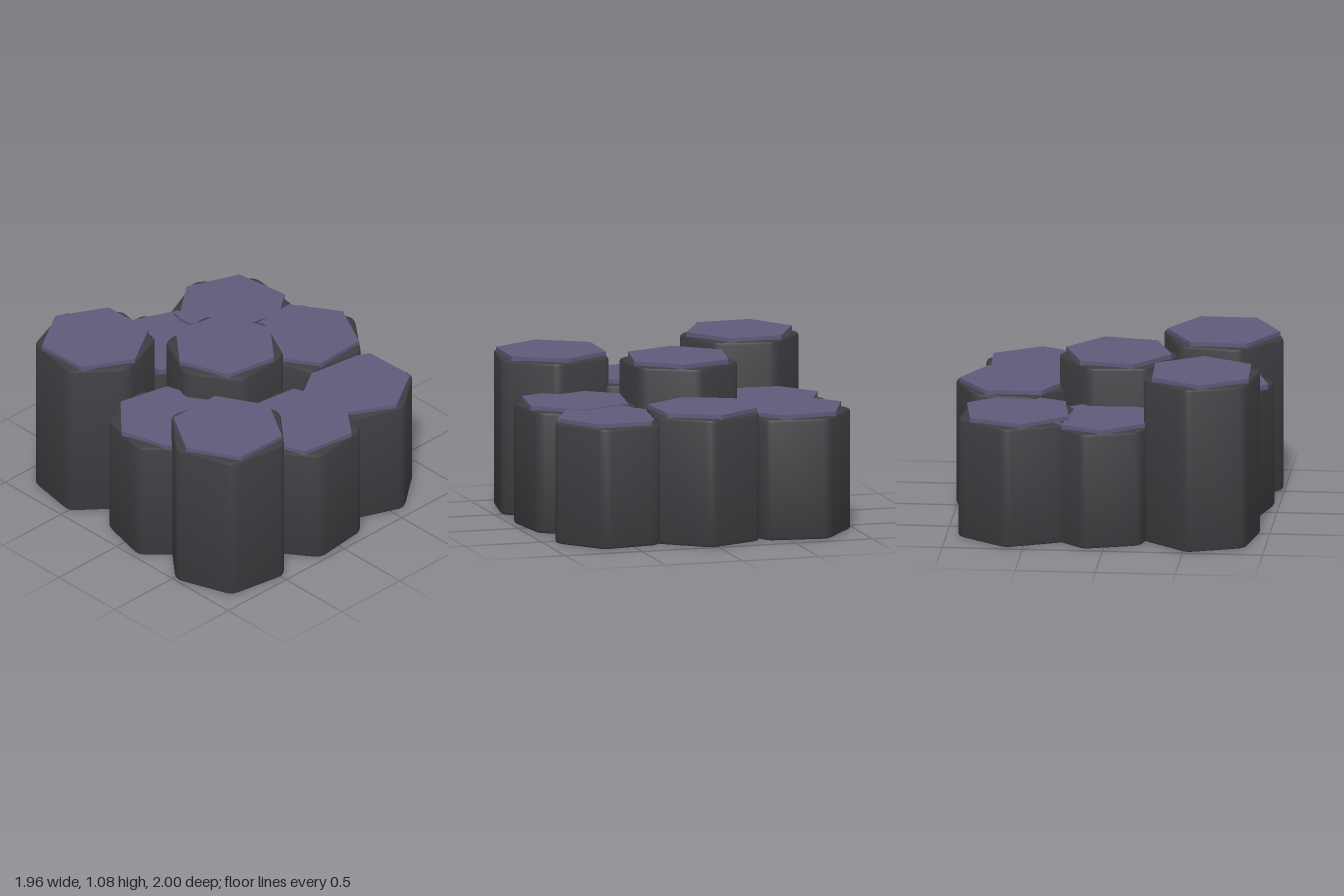
import * as THREE from 'three';
import { toCreasedNormals } from 'three/addons/utils/BufferGeometryUtils.js';

const CAP = 0.032;    // cap thickness
const BEVEL = 0.02;   // softened rim of each column
const ROUND = 0.045;  // corner rounding of each column
const rad = THREE.MathUtils.degToRad;

// Hexagon with rounded corners; one corner points at the given angle
function roundedHexagon(radius, degrees) {
  const corners = [];
  for (let i = 0; i < 6; i++) {
    const a = rad(degrees + i * 60);
    corners.push(new THREE.Vector2(Math.cos(a), Math.sin(a)).multiplyScalar(radius));
  }
  const t = ROUND / radius;
  const shape = new THREE.Shape();
  corners.forEach((c, i) => {
    const start = c.clone().lerp(corners[(i + 5) % 6], t);
    const end = c.clone().lerp(corners[(i + 1) % 6], t);
    if (i === 0) shape.moveTo(start.x, start.y);
    else shape.lineTo(start.x, start.y);
    shape.quadraticCurveTo(c.x, c.y, end.x, end.y);
  });
  shape.closePath();
  return shape;
}

// Stone column standing on the ground
function columnGeometry(radius, degrees, height) {
  const geometry = new THREE.ExtrudeGeometry(roundedHexagon(radius, degrees), {
    depth: height - 2 * BEVEL, curveSegments: 3,
    bevelEnabled: true, bevelThickness: BEVEL, bevelSize: BEVEL,
    bevelOffset: -BEVEL, bevelSegments: 2,
  });
  geometry.rotateX(Math.PI / 2).translate(0, height - BEVEL, 0);
  return toCreasedNormals(geometry, 0.6);
}

// Sharp-edged six-sided slab
function capGeometry(radius, degrees) {
  const geometry = new THREE.CylinderGeometry(radius, radius, CAP, 6);
  geometry.rotateY(rad(90 - degrees));
  return toCreasedNormals(geometry, 0.3);
}

export function createModel() {
  const stone = new THREE.MeshStandardMaterial({ color: 0x3d3d41 });
  stone.name = 'dark stone';
  const top = new THREE.MeshStandardMaterial({ color: 0x5e5a7a });
  top.name = 'muted violet';

  // name, x, z, total height, column radius and angle, cap radius and angle
  const columns = [
    ['backLeftColumn', -0.592, -0.565, 0.79, 0.395, 7, 0.355, 52],
    ['backMiddleColumn', -0.008, -0.635, 0.83, 0.383, 38, 0.345, 27],
    ['backRightColumn', 0.566, -0.53, 0.785, 0.378, 52, 0.345, -2],
    ['middleLeftColumn', -0.61, -0.045, 0.765, 0.373, 13, 0.34, 53],
    ['centreColumn', -0.048, 0.018, 1.035, 0.38, 26, 0.34, 40],
    ['middleRightColumn', 0.622, 0.02, 0.79, 0.393, 24, 0.355, 38],
    ['frontLeftColumn', -0.62, 0.587, 1.075, 0.382, 10, 0.346, -2],
    ['frontMiddleColumn', 0.063, 0.62, 0.83, 0.373, 14, 0.335, 43],
    ['frontRightColumn', 0.596, 0.615, 1.005, 0.393, 40, 0.353, 31],
  ];

  const model = new THREE.Group();
  model.name = 'stoneColumns';
  for (const [name, x, z, height, radius, angle, capRadius, capAngle] of columns) {
    const column = new THREE.Group();
    column.name = name;
    column.position.set(x, 0, z);

    const shaft = new THREE.Mesh(columnGeometry(radius, angle, height - 0.025), stone);
    shaft.name = 'shaft';
    const cap = new THREE.Mesh(capGeometry(capRadius, capAngle), top);
    cap.name = 'cap';
    cap.position.y = height - CAP / 2;

    column.add(shaft, cap);
    model.add(column);
  }
  return model;
}
